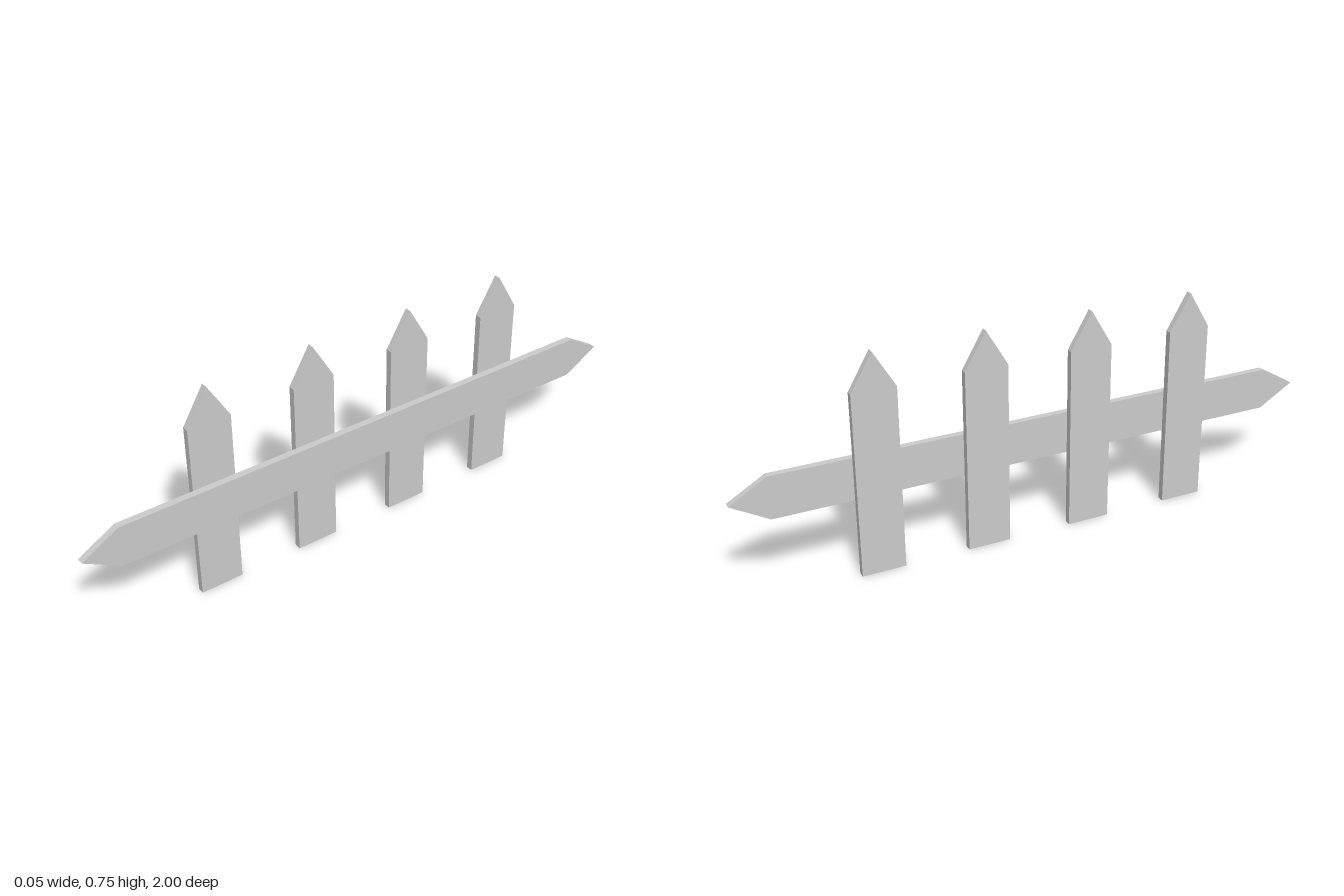
import * as THREE from 'three';

const T = 0.023; // board thickness

// Board outline in (z, y), extruded along +x from x = 0
function board(points) {
  const shape = new THREE.Shape(points.map(([z, y]) => new THREE.Vector2(-z, y)));
  const geo = new THREE.ExtrudeGeometry(shape, { depth: T, bevelEnabled: false });
  return geo.rotateY(Math.PI / 2);
}

// Drops the downward-facing end so the board is open underneath
function openBottom(geo) {
  const pos = geo.attributes.position, nor = geo.attributes.normal;
  const kept = [];
  for (let i = 0; i < pos.count; i += 3) {
    if (nor.getY(i) < -0.9) continue;
    for (let k = i; k < i + 3; k++) kept.push(pos.getX(k), pos.getY(k), pos.getZ(k));
  }
  const out = new THREE.BufferGeometry();
  out.setAttribute('position', new THREE.Float32BufferAttribute(kept, 3));
  out.computeVertexNormals();
  return out;
}

export function createModel() {
  const group = new THREE.Group();
  group.name = 'picketFence';
  const mat = new THREE.MeshStandardMaterial({ color: 0xcccccc, flatShading: true, side: THREE.DoubleSide });

  // Horizontal rail, pointed at both ends
  const rail = new THREE.Mesh(board([
    [1, 0.333], [0.877, 0.261], [-0.877, 0.261],
    [-1, 0.333], [-0.877, 0.405], [0.877, 0.405],
  ]), mat);
  rail.name = 'rail';
  group.add(rail);

  // Four pointed pickets behind the rail
  const w = 0.0727;
  const picketGeo = openBottom(board([[w, 0], [-w, 0], [-w, 0.622], [0, 0.746], [w, 0.622]]));
  for (let i = 0; i < 4; i++) {
    const picket = new THREE.Mesh(picketGeo, mat);
    picket.name = `picket${i + 1}`;
    picket.position.set(-T, 0, 0.547 - i * 0.3635);
    group.add(picket);
  }
  return group;
}
